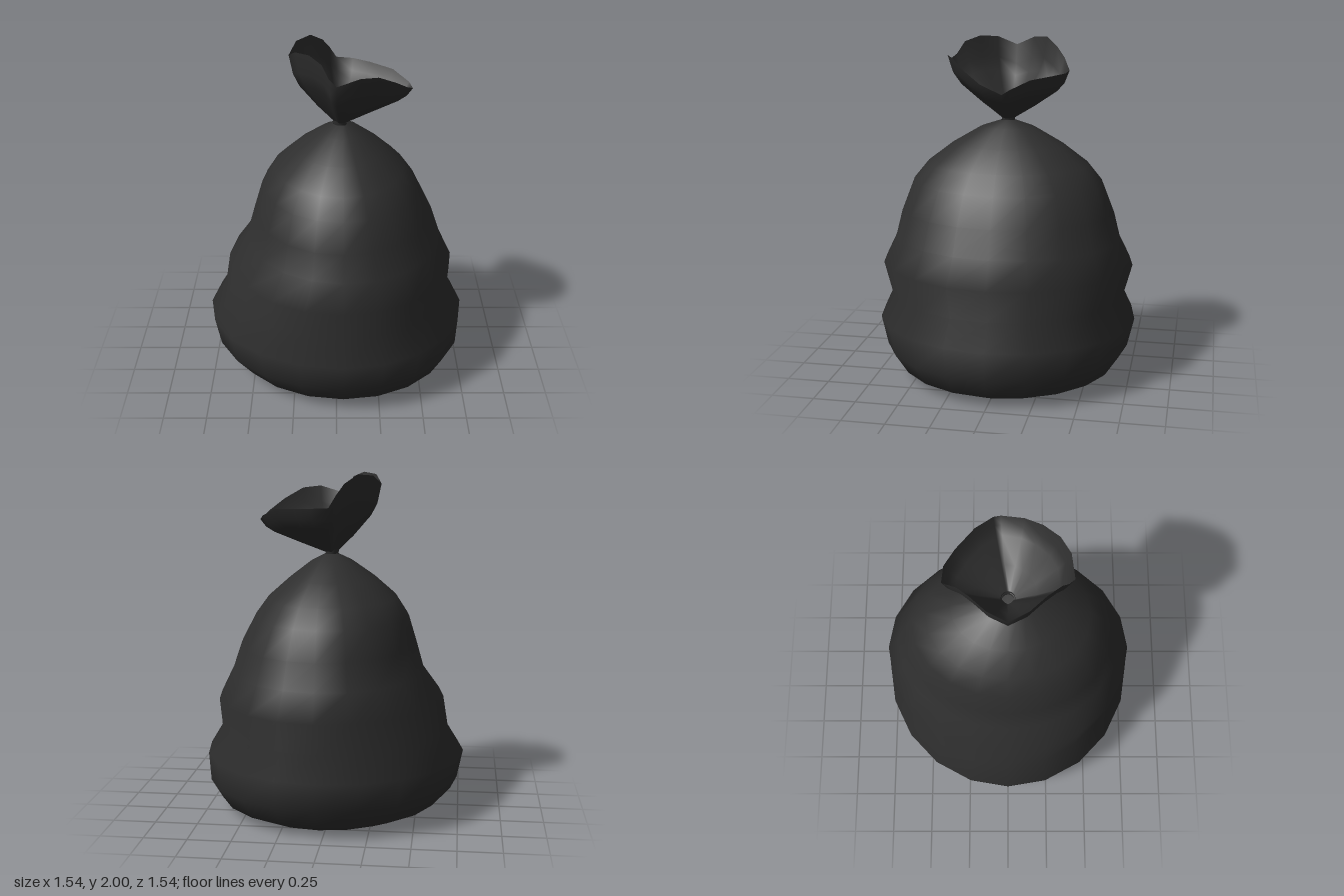
import * as THREE from 'three';

const SEG = 20;

// Smooth skin over closed rings of points, listed from bottom to top
function skin(rings) {
  const pos = rings.flat(2), idx = [];
  for (let i = 0; i < rings.length - 1; i++) {
    for (let j = 0; j < SEG; j++) {
      const k = (j + 1) % SEG;
      const a = i * SEG + j, b = i * SEG + k, c = a + SEG, d = b + SEG;
      idx.push(a, c, b, b, c, d);
    }
  }
  const geo = new THREE.BufferGeometry();
  geo.setAttribute('position', new THREE.Float32BufferAttribute(pos, 3));
  geo.setIndex(idx);
  geo.computeVertexNormals();
  return geo;
}

// Bag sections: height, left-hand x, right-hand x, half depth
const SECTIONS = [
  [0, 0.04, 0.04, 0],
  [0, -0.48, 0.56, 0.525],
  [0.06, -0.63, 0.69, 0.65],
  [0.18, -0.74, 0.76, 0.73],
  [0.35, -0.775, 0.77, 0.77],
  [0.5, -0.68, 0.68, 0.70],
  [0.685, -0.65, 0.695, 0.75],
  [0.84, -0.535, 0.62, 0.675],
  [1.0, -0.49, 0.565, 0.635],
  [1.165, -0.44, 0.48, 0.57],
  [1.275, -0.37, 0.40, 0.48],
  [1.39, -0.24, 0.27, 0.33],
  [1.49, -0.1, 0.14, 0.16],
  [1.53, -0.02, 0.06, 0.04],
];

// Open mouth rim of the gathered top, x, y, z
const RIM = [
  [0.44, 1.73, -0.04], [0.40, 1.78, 0.09], [0.33, 1.84, 0.19], [0.23, 1.90, 0.28],
  [0.13, 1.91, 0.335], [0, 1.87, 0.355], [-0.04, 1.90, 0.32], [-0.08, 1.97, 0.28],
  [-0.15, 2.0, 0.2], [-0.23, 1.99, 0.11], [-0.27, 1.94, 0], [-0.23, 1.99, -0.11],
  [-0.15, 2.0, -0.2], [-0.08, 1.95, -0.27], [-0.04, 1.89, -0.32], [0, 1.82, -0.355],
  [0.1, 1.815, -0.345], [0.2, 1.81, -0.285], [0.33, 1.80, -0.18], [0.42, 1.755, -0.08],
];

export function createModel() {
  const group = new THREE.Group();
  const plastic = new THREE.MeshStandardMaterial({ color: 0x2e2e2e, side: THREE.DoubleSide });
  plastic.name = 'black plastic';

  const add = (name, geo) => {
    const mesh = new THREE.Mesh(geo, plastic);
    mesh.name = name;
    group.add(mesh);
  };

  // Sagging bag, each section made of two half ellipses about a shared centre
  add('bagBody', skin(SECTIONS.map(([y, x0, x1, rz]) =>
    Array.from({ length: SEG }, (_, j) => {
      const a = (j / SEG) * Math.PI * 2, c = Math.cos(a);
      return [0.04 + c * (c > 0 ? x1 - 0.04 : 0.04 - x0), y, rz * Math.sin(a)];
    }))));

  // Tied neck
  const neck = new THREE.CylinderGeometry(0.042, 0.036, 0.035, 12, 1, true);
  neck.translate(0.02, 1.538, 0);
  add('neck', neck);

  // Flared top: rim scaled toward the neck, rounder on the drooping side
  const flare = [[0.1, 0], [0.44, 0.26], [0.8, 0.57], [0.92, 0.74], [1, 1]];
  add('gatheredTop', skin(flare.map(([r, h]) =>
    RIM.map(([x, y, z]) => {
      const lift = h + 0.35 * x * h * (1 - h);
      return [0.02 + (x - 0.02) * r, 1.54 + (y - 1.54) * lift, z * r];
    }))));

  return group;
}
